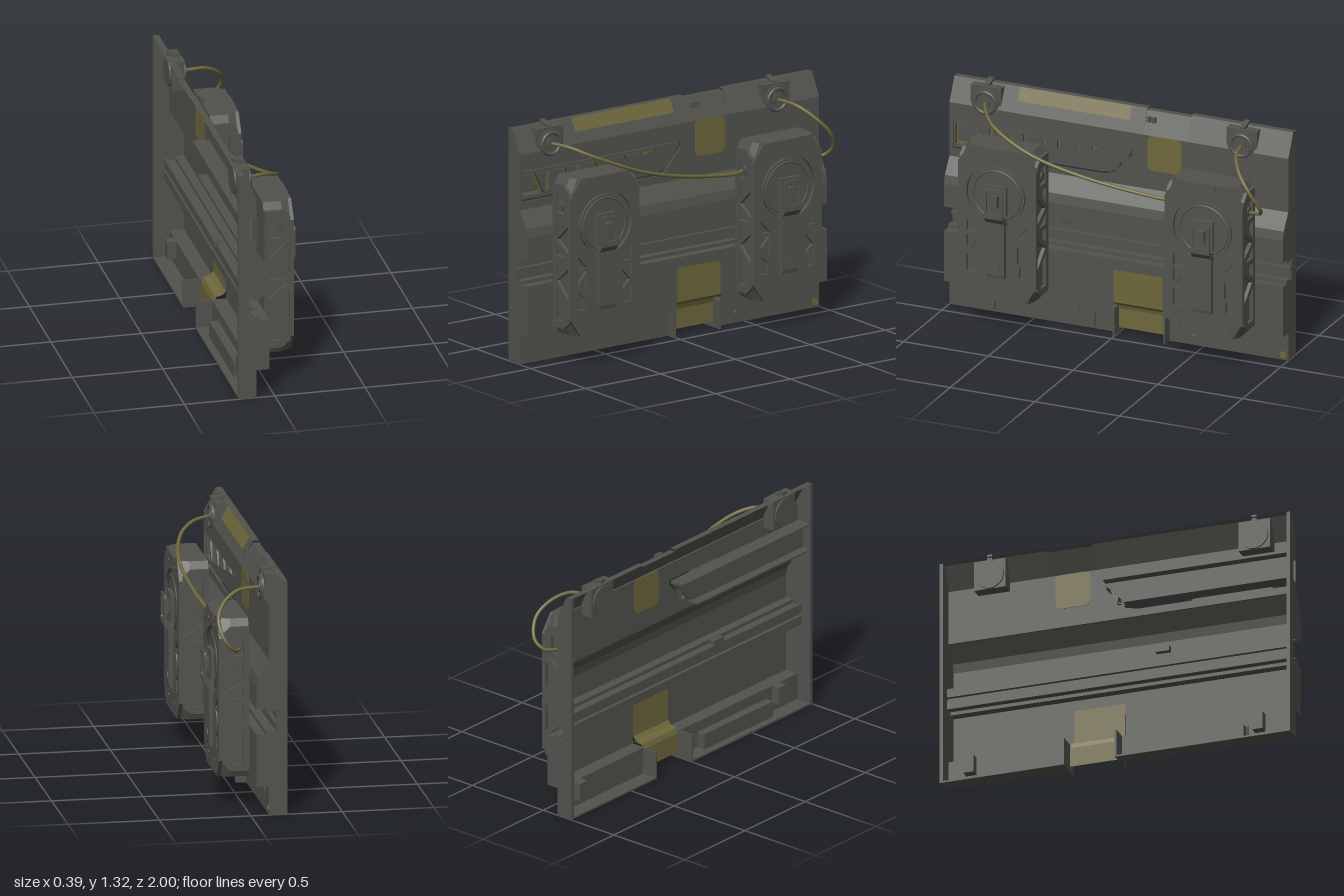
import * as THREE from 'three';
import { ConvexGeometry } from 'three/addons/geometries/ConvexGeometry.js';

const grey = new THREE.MeshStandardMaterial({ color: 0x52524d, side: THREE.DoubleSide });
grey.name = 'gunmetal grey';
const olive = new THREE.MeshStandardMaterial({ color: 0x6e673c, side: THREE.DoubleSide });
olive.name = 'olive yellow';

const poly = (pts) => pts.map(([a, b]) => new THREE.Vector2(a, b));

function mesh(parent, name, geo, mat = grey) {
  const m = new THREE.Mesh(geo, mat);
  m.name = name;
  parent.add(m);
  return m;
}

// box given by its two extreme corners
function box(parent, name, [x0, x1], [y0, y1], [z0, z1], mat = grey) {
  const m = mesh(parent, name, new THREE.BoxGeometry(x1 - x0, y1 - y0, z1 - z0), mat);
  m.position.set((x0 + x1) / 2, (y0 + y1) / 2, (z0 + z1) / 2);
  return m;
}

function extrude(pts, holes, depth) {
  const s = new THREE.Shape(poly(pts));
  holes.forEach((h) => s.holes.push(new THREE.Path(poly(h))));
  return new THREE.ExtrudeGeometry(s, { depth, bevelEnabled: false });
}

// plate drawn in (-z, y), running from x0 to x1
function slab(parent, name, pts, x0, x1, holes = [], mat = grey) {
  const g = extrude(pts, holes, x1 - x0).rotateY(Math.PI / 2).translate(x0, 0, 0);
  return mesh(parent, name, g, mat);
}

// bent sheet following an (x, y) path from z0 to z1
function sheet(parent, name, path, z0, z1, mat = grey) {
  const v = [];
  for (let i = 0; i + 1 < path.length; i++) {
    const [ax, ay] = path[i], [bx, by] = path[i + 1];
    v.push(ax, ay, z1, bx, by, z0, bx, by, z1, ax, ay, z1, ax, ay, z0, bx, by, z0);
  }
  const g = new THREE.BufferGeometry();
  g.setAttribute('position', new THREE.Float32BufferAttribute(v, 3));
  g.computeVertexNormals();
  return mesh(parent, name, g, mat);
}

// cylinder along x
function disc(parent, name, r, x0, x1, y, z, mat = grey) {
  const m = mesh(parent, name, new THREE.CylinderGeometry(r, r, x1 - x0, 32).rotateZ(-Math.PI / 2), mat);
  m.position.set((x0 + x1) / 2, y, z);
  return m;
}

function roundRect(w0, w1, h0, h1, r) {
  const pts = [];
  [[w1 - r, h1 - r], [w0 + r, h1 - r], [w0 + r, h0 + r], [w1 - r, h0 + r]].forEach(([cx, cy], q) => {
    for (let i = 0; i <= 4; i++) {
      const a = (q + i / 4) * Math.PI / 2;
      pts.push([cx + r * Math.cos(a), cy + r * Math.sin(a)]);
    }
  });
  return pts;
}

function shrink(pts, k) {
  const cx = pts.reduce((s, p) => s + p[0], 0) / pts.length;
  const cy = pts.reduce((s, p) => s + p[1], 0) / pts.length;
  return pts.map(([a, b]) => [cx + (a - cx) * k, cy + (b - cy) * k]);
}

function buildWall(root) {
  const wall = new THREE.Group();
  wall.name = 'wall';
  root.add(wall);
  const channel = [[-0.03, 0.45], [-0.08, 0.45], [-0.08, 0.47], [-0.12, 0.47], [-0.12, 0.46], [-0.14, 0.46],
    [-0.14, 0.51], [-0.12, 0.51], [-0.12, 0.53], [-0.14, 0.53], [-0.14, 0.58], [-0.12, 0.58], [-0.12, 0.57],
    [-0.08, 0.57], [-0.08, 0.59], [-0.03, 0.59]];
  const belly = [...channel, [-0.03, 0.72], [-0.04, 0.77], [-0.08, 0.83], [-0.1, 0.86]];
  const slope = [[-0.1, 1.17], [-0.165, 1.3], [-0.2, 1.3]];

  // bulging lower skin with the rail channel, open around the hatch
  const foot = [[-0.1, 0.16], [-0.03, 0.16]];
  sheet(wall, 'lowerSkinBack', [...foot, ...belly], -1, -0.29);
  sheet(wall, 'lowerSkinFront', [...foot, ...belly], 0, 1);
  sheet(wall, 'lowerSkinMiddle', [[-0.03, 0.39], ...belly], -0.29, 0);
  sheet(wall, 'hatchUpper', [[-0.05, 0.18], [-0.032, 0.2], [-0.03, 0.39]], -0.29, 0, olive);
  sheet(wall, 'hatchLower', [[-0.1, 0.03], [-0.1, 0.14], [-0.09, 0.17], [-0.05, 0.18]], -0.29, 0, olive);

  // sloping top skin, with a slightly lower section in the middle
  sheet(wall, 'topSkinFront', slope, -0.14, 1);
  sheet(wall, 'topSkinMiddle', [[-0.1, 1.17], [-0.165, 1.29], [-0.2, 1.29]], -0.4, -0.14);
  sheet(wall, 'topSkinBack', slope, -1, -0.4);
  sheet(wall, 'topStripe', [[-0.126, 1.23], [-0.163, 1.3]], -0.05, 0.61, olive);

  // solid end caps
  const outline = [[-0.2, 0], [-0.1, 0], ...foot, ...belly, ...slope];
  const slot = [[-0.14, 0.92], [-0.11, 0.92], [-0.11, 1.05], [-0.14, 1.05]];
  mesh(wall, 'frontEndCap', extrude(outline, [slot], 0.02)).position.z = 0.98;
  mesh(wall, 'backEndCap', extrude(outline, [], 0.02)).position.z = -1;

  // upper plate, notched for the truss
  slab(wall, 'upperPlate', [[-1, 0.86], [1, 0.86], [1, 1.17], [-1, 1.17], [-1, 1.075], [0.08, 1.075],
    [0.08, 1.045], [-0.03, 0.92], [-0.1, 0.903], [-1, 0.903]], -0.11, -0.1);
  slab(wall, 'windowPanel', roundRect(0.17, 0.37, 0.97, 1.17, 0.03), -0.113, -0.097, [], olive);
  for (const z of [-0.17, -0.2]) box(wall, 'vent', [-0.13, -0.11], [1.24, 1.27], [z - 0.01, z + 0.01]);

  // truss insert
  const insert = [[-0.99, 0.913], [-0.1, 0.913], [-0.04, 0.93], [0.07, 1.05], [0.07, 1.067], [-0.99, 1.067]];
  const holes = [];
  for (let i = 0; i < 5; i++) {
    const a = -0.97 + i * 0.2;
    holes.push([[a, 0.93], [a + 0.14, 0.93], [a + 0.08, 1.05], [a, 1.05]]);
    holes.push([[a + 0.16, 0.94], [a + 0.18, 0.94], [a + 0.18, 1.05], [a + 0.1, 1.05]]);
  }
  slab(wall, 'truss', insert, -0.13, -0.11, holes);
  slab(wall, 'trussTrim', insert, -0.135, -0.13, holes.map((h) => shrink(h, 0.82)), olive);
  slab(wall, 'trussBacking', insert, -0.15, -0.14);
  box(wall, 'trussShelf', [-0.2, -0.13], [0.91, 0.92], [0.05, 0.98]);
  box(wall, 'trussTopShelf', [-0.2, -0.13], [1.06, 1.07], [-0.07, 0.98]);

  // base, cut for the hatch and two slits
  slab(wall, 'base', [[-1, 0], [-0.733, 0], [-0.733, 0.11], [-0.727, 0.11], [-0.727, 0], [-0.143, 0],
    [-0.143, 0.1], [-0.137, 0.1], [-0.137, 0], [0, 0], [0, 0.16], [-1, 0.16]], -0.11, -0.1);
  slab(wall, 'base', [[0.29, 0], [1, 0], [1, 0.16], [0.29, 0.16]], -0.11, -0.1);
  box(wall, 'baseFloorFront', [-0.2, -0.1], [0, 0.01], [0, 1]);
  box(wall, 'baseFloorBack', [-0.2, -0.1], [0, 0.01], [-1, -0.29]);
  box(wall, 'innerTray', [-0.16, -0.11], [0.01, 0.1], [0.15, 0.72]);
  for (const z of [0.005, -0.295]) box(wall, 'hatchRib', [-0.2, -0.04], [0, 0.16], [z - 0.005, z + 0.005]);
  for (const z of [0.8, -0.85]) box(wall, 'innerBlock', [-0.16, -0.1], [0.06, 0.16], [z - 0.03, z + 0.03]);
  box(wall, 'railClip', [-0.17, -0.14], [0.6, 0.63], [0.22, 0.3]);

  // small face details
  for (const u of [-0.83, 0.85]) slab(wall, 'pillSlot', roundRect(u - 0.016, u + 0.016, 0.04, 0.12, 0.015), -0.1, -0.096);
  for (const z of [0.64, 0.25]) box(wall, 'baseGrille', [-0.1, -0.095], [0.1, 0.12], [z - 0.02, z + 0.02]);
  for (let i = 0; i < 5; i++) box(wall, 'ventSlit', [-0.03, -0.025], [0.61, 0.64], [0.235 + i * 0.016, 0.242 + i * 0.016]);
  disc(wall, 'marker', 0.02, -0.1, -0.096, 0.03, -0.97, olive);
  disc(wall, 'marker', 0.01, -0.1, -0.096, 0.06, -0.44, olive);
}

function buildConnector(root, z) {
  const g = new THREE.Group();
  g.name = 'connector';
  g.position.set(0, 1.2, z);
  root.add(g);
  box(g, 'housing', [-0.18, -0.11], [-0.08, 0.09], [-0.09, 0.09]);
  disc(g, 'backDisc', 0.08, -0.19, -0.18, 0, 0);
  disc(g, 'collar', 0.08, -0.12, -0.1, 0, 0);
  const ring = mesh(g, 'ring', new THREE.TorusGeometry(0.06, 0.01, 8, 32).rotateY(Math.PI / 2));
  ring.position.x = -0.1;
  disc(g, 'socket', 0.03, -0.11, -0.09, 0, 0);
  mesh(g, 'post', extrude([[-0.185, 0], [-0.12, 0], [-0.12, 0.1], [-0.185, 0.12]], [], 0.03)).position.z = -0.015;
}

function buildPod(root, z) {
  const pod = new THREE.Group();
  pod.name = 'pod';
  pod.position.z = z;
  root.add(pod);

  // block with its front corners cut off
  const pts = [];
  const section = (x, w, cz, cy) => {
    for (const s of [-1, 1]) for (const t of [-1, 1]) {
      pts.push(new THREE.Vector3(x, 0.61 + t * (0.44 - cy), s * w), new THREE.Vector3(x, 0.61 + t * 0.44, s * (0.23 - cz)));
    }
  };
  section(-0.02, 0.21, 0.04, 0.04);
  section(0.08, 0.21, 0.04, 0.04);
  section(0.125, 0.21, 0.06, 0.08);
  mesh(pod, 'body', new ConvexGeometry(pts));

  // front plate with dial recess and pockets
  const circle = [];
  for (let i = 0; i < 40; i++) {
    const a = i / 40 * Math.PI * 2;
    circle.push([0.18 * Math.cos(a), 0.78 + 0.18 * Math.sin(a)]);
  }
  const pockets = [];
  for (const s of [-1, 1]) {
    for (const p of [[[0.12, 0.55], [0.18, 0.62], [0.18, 0.55]], [[0.12, 0.53], [0.18, 0.53], [0.18, 0.46]],
      [[0.12, 0.5], [0.17, 0.44], [0.12, 0.4]], [[0.13, 0.38], [0.18, 0.42], [0.18, 0.32], [0.13, 0.32]]]) {
      pockets.push(p.map(([a, b]) => [a * s, b]));
    }
  }
  const face = [[-0.16, 0.17], [0.16, 0.17], [0.23, 0.27], [0.23, 0.95], [0.16, 1.05], [-0.16, 1.05], [-0.23, 0.95], [-0.23, 0.27]];
  slab(pod, 'frontPlate', face, 0.125, 0.145, [circle, ...pockets]);
  disc(pod, 'dial', 0.16, 0.12, 0.14, 0.78, 0);
  const ring = mesh(pod, 'dialRing', new THREE.TorusGeometry(0.14, 0.006, 6, 40).rotateY(Math.PI / 2));
  ring.position.set(0.14, 0.78, 0);

  // side plates with truss pockets
  const side = [[-0.02, 0.21], [0.08, 0.21], [0.125, 0.25], [0.125, 0.97], [0.08, 1.01], [-0.02, 1.01]];
  const sideHoles = [[[0.01, 0.85], [0.08, 0.85], [0.08, 0.95], [0.01, 0.95]],
    [[0.01, 0.82], [0.1, 0.82], [0.01, 0.73]], [[0.12, 0.79], [0.12, 0.64], [0.02, 0.7]],
    [[0.01, 0.67], [0.1, 0.61], [0.01, 0.61]], [[0.01, 0.58], [0.11, 0.58], [0.01, 0.5]],
    [[0.12, 0.55], [0.12, 0.38], [0.02, 0.47]], [[0.01, 0.44], [0.1, 0.36], [0.07, 0.25], [0.01, 0.25]]];
  for (const zz of [-0.23, 0.21]) mesh(pod, 'sidePlate', extrude(side, sideHoles, 0.02)).position.z = zz;
  for (const s of [-1, 1]) {
    const knob = mesh(pod, 'sideKnob', new THREE.CylinderGeometry(0.025, 0.025, 0.02, 16).rotateX(Math.PI / 2));
    knob.position.set(0.04, 0.89, s * 0.215);
  }

  // handle lever
  mesh(pod, 'lever', extrude([[0.13, 0.31], [0.165, 0.31], [0.17, 0.33], [0.17, 0.63], [0.195, 0.66], [0.195, 0.69],
    [0.185, 0.69], [0.185, 0.68], [0.16, 0.66], [0.13, 0.66]], [], 0.11)).position.z = -0.055;
  slab(pod, 'leverLoop', roundRect(-0.055, 0.055, 0.66, 0.83, 0.02), 0.185, 0.195, [roundRect(-0.04, 0.04, 0.69, 0.81, 0.01)]);
  box(pod, 'leverSeat', [0.13, 0.16], [0.67, 0.84], [-0.06, 0.06]);
  box(pod, 'leverCatch', [0.15, 0.19], [0.72, 0.79], [-0.02, 0.02]);
  disc(pod, 'leverPivot', 0.03, 0.16, 0.174, 0.37, 0);

  // tab and bolts
  box(pod, 'topTab', [0.1, 0.15], [1.02, 1.048], [-0.07, 0.07]);
  for (const s of [-1, 1]) {
    disc(pod, 'bolt', 0.01, 0.14, 0.149, 0.99, s * 0.09);
    disc(pod, 'bolt', 0.01, 0.14, 0.149, 0.24, s * 0.09);
    box(pod, 'lug', [0.14, 0.149], [0.21, 0.24], [s * 0.15 - 0.008, s * 0.15 + 0.008]);
  }
}

function buildCable(root, pts) {
  const curve = new THREE.CatmullRomCurve3(pts.map((p) => new THREE.Vector3(...p)));
  mesh(root, 'cable', new THREE.TubeGeometry(curve, 64, 0.01, 10), olive);
}

export function createModel() {
  const root = new THREE.Group();
  root.name = 'wallPanel';
  buildWall(root);
  for (const z of [0.79, -0.72]) buildConnector(root, z);
  for (const z of [0.61, -0.61]) buildPod(root, z);
  buildCable(root, [[-0.1, 1.2, 0.79], [0, 1.19, 0.74], [0.08, 1.15, 0.66], [0.13, 1.08, 0.5], [0.13, 1.02, 0.35],
    [0.1, 0.95, 0.1], [0.06, 0.9, -0.15], [0.04, 0.88, -0.35], [0.03, 0.89, -0.4]]);
  buildCable(root, [[-0.1, 1.2, -0.72], [0.03, 1.19, -0.75], [0.12, 1.13, -0.81], [0.155, 1.05, -0.88],
    [0.12, 0.95, -0.93], [0.07, 0.9, -0.91], [0.03, 0.88, -0.82]]);
  return root;
}
